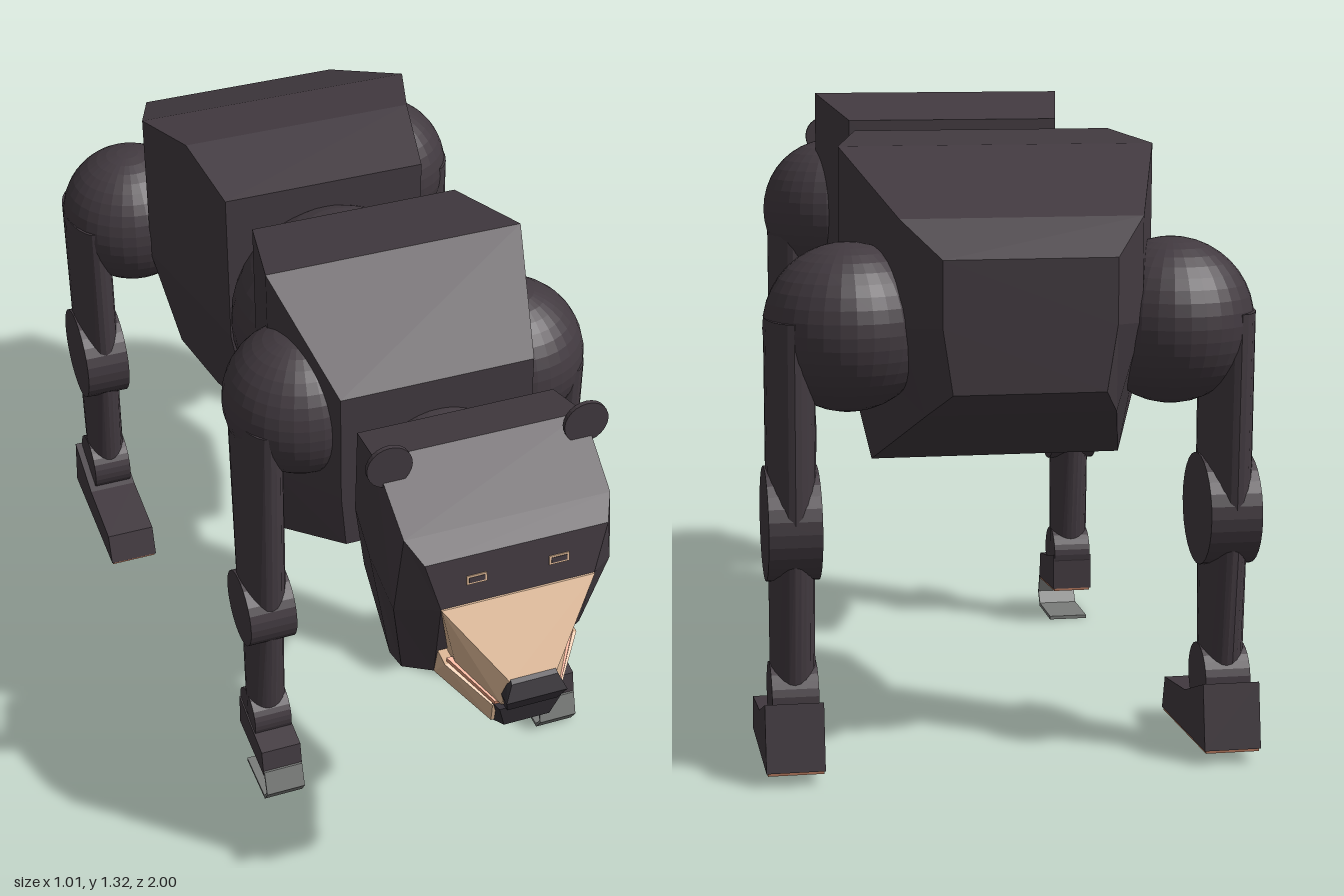
import * as THREE from 'three';

const mat = (name, color, extra = {}) => {
  const m = new THREE.MeshStandardMaterial({ color, ...extra });
  m.name = name;
  return m;
};

export function createModel() {
  const root = new THREE.Group();
  root.name = 'bear';
  const fur = mat('fur', 0x423a40, { flatShading: true });
  const tan = mat('tan', 0xdeb896, { flatShading: true });
  const nose = mat('nose', 0x363238, { flatShading: true });
  const pink = mat('mouth', 0xe69878, { side: THREE.DoubleSide });
  const sole = mat('sole', 0xb0765c, { flatShading: true });
  const claw = mat('claw', 0x7a7c7a, { side: THREE.DoubleSide });
  const mark = mat('chestMark', 0xdeb896, { side: THREE.DoubleSide });

  const add = (name, geo, material, x = 0, y = 0, z = 0, parent = root) => {
    const m = new THREE.Mesh(geo, material);
    m.name = name;
    m.position.set(x, y, z);
    parent.add(m);
    return m;
  };

  // Loft of mirrored rings, back to front; each ring lists its +x half from top to bottom
  const loft = (rings) => {
    const pos = [];
    const n = rings[0].length;
    const full = rings.map((r) => [...r, ...r.map(([x, y, z]) => [-x, y, z]).reverse()]);
    const quad = (a, b, c, d) => pos.push(...a, ...b, ...c, ...a, ...c, ...d);
    for (let k = 0; k < full.length - 1; k++) {
      const a = full[k], b = full[k + 1];
      for (let i = 0; i < 2 * n; i++) {
        const j = (i + 1) % (2 * n);
        quad(b[i], b[j], a[j], a[i]);
      }
    }
    const back = full[0], front = full[full.length - 1];
    for (let i = 0; i < n - 1; i++) {
      const l = 2 * n - 1 - i;
      quad(front[i], front[l], front[l - 1], front[i + 1]);
      quad(back[i], back[i + 1], back[l - 1], back[l]);
    }
    const g = new THREE.BufferGeometry();
    g.setAttribute('position', new THREE.Float32BufferAttribute(pos, 3));
    g.computeVertexNormals();
    return g;
  };

  // Body section: half width, top, waist and bottom heights, bottom half width
  const section = (z, w, top, mid, bot, wb) => [[w, top, z], [w, mid, z], [wb, bot, z]];

  // Side profile [z, y] pulled through a width centred on x = 0
  const prism = (pts, width) => {
    const s = new THREE.Shape(pts.map(([z, y]) => new THREE.Vector2(z, y)));
    const g = new THREE.ExtrudeGeometry(s, { depth: width, bevelEnabled: false });
    return g.rotateY(-Math.PI / 2).translate(width / 2, 0, 0);
  };

  // Limb of constant width in x whose depth tapers; ends are [y, zCentre, zRadius]
  const limb = ([y0, z0, r0], [y1, z1, r1], rx) => {
    const g = new THREE.CylinderGeometry(1, 1, 1, 24);
    const p = g.attributes.position;
    for (let i = 0; i < p.count; i++) {
      const t = 0.5 - p.getY(i);
      p.setXYZ(i, p.getX(i) * rx, y0 + (y1 - y0) * t,
        z0 + (z1 - z0) * t + p.getZ(i) * (r0 + (r1 - r0) * t));
    }
    g.computeVertexNormals();
    return g;
  };
  const disc = (r, w) => new THREE.CylinderGeometry(r, r, w, 28).rotateZ(Math.PI / 2);
  const ball = (r) => new THREE.SphereGeometry(r, 32, 20);

  // Trunk
  add('hips', loft([
    section(-1.0, 0.17, 1.06, 0.93, 0.80, 0.15),
    section(-0.91, 0.24, 1.13, 0.92, 0.745, 0.19),
    section(-0.625, 0.325, 1.25, 0.88, 0.607, 0.26),
    section(-0.45, 0.27, 1.27, 0.85, 0.583, 0.22),
    section(-0.265, 0.236, 1.22, 0.85, 0.63, 0.2),
  ]), fur);
  add('belly', ball(0.257), fur, 0, 0.927, -0.15);
  add('chest', loft([
    section(-0.065, 0.236, 1.268, 0.85, 0.67, 0.225),
    section(0.185, 0.287, 1.318, 0.8, 0.63, 0.265),
    section(0.443, 0.215, 1.155, 0.9, 0.77, 0.205),
  ]), fur);
  add('neck', ball(0.15), fur, 0, 0.93, 0.455);

  // Pale crescent lying on the sloping underside of the chest
  const v = new THREE.Shape([[-0.205, 0.683], [0, 0.633], [0.205, 0.683], [0.14, 0.689], [0, 0.655], [-0.14, 0.689]]
    .map(([x, y]) => new THREE.Vector2(x, y)));
  const vGeo = new THREE.ShapeGeometry(v);
  const vp = vGeo.attributes.position;
  for (let i = 0; i < vp.count; i++) {
    const y = vp.getY(i);
    vp.setXYZ(i, vp.getX(i), y - 0.005, 0.185 + ((y - 0.63) * 0.258) / 0.14);
  }
  vGeo.computeVertexNormals();
  add('chestMark', vGeo, mark);

  // Head
  add('head', loft([
    [[0.215, 1.145, 0.542], [0.22, 0.95, 0.542], [0.2, 0.79, 0.542]],
    [[0.225, 1.175, 0.67], [0.236, 0.93, 0.67], [0.21, 0.70, 0.722]],
    [[0.22, 1.083, 0.82], [0.236, 0.9, 0.81], [0.2, 0.695, 0.765]],
    [[0.195, 1.05, 0.87], [0.165, 0.94, 0.885], [0.14, 0.69, 0.795]],
  ]), fur);
  add('muzzle', loft([
    [[0.165, 0.941, 0.885], [0.125, 0.77, 0.83]],
    [[0.165, 0.94, 0.888], [0.125, 0.775, 0.87]],
    [[0.05, 0.79, 0.978], [0.062, 0.722, 0.965]],
  ]), tan);
  add('nose', loft([
    [[0.048, 0.805, 0.955], [0.062, 0.75, 0.95], [0.055, 0.715, 0.95]],
    [[0.05, 0.79, 0.985], [0.066, 0.755, 1.0], [0.055, 0.717, 0.98]],
  ]), nose);
  add('jaw', loft([
    [[0.145, 0.775, 0.81], [0.14, 0.69, 0.785]],
    [[0.145, 0.77, 0.865], [0.14, 0.69, 0.797]],
    [[0.075, 0.712, 0.952], [0.072, 0.659, 0.94]],
  ]), tan);
  add('lowerLip', loft([
    [[0.077, 0.715, 0.94], [0.074, 0.657, 0.928]],
    [[0.068, 0.716, 0.972], [0.05, 0.654, 0.957]],
  ]), nose);
  add('mouth', loft([
    [[0.14, 0.783, 0.86], [0.14, 0.774, 0.86]],
    [[0.072, 0.725, 0.955], [0.072, 0.715, 0.953]],
  ]), pink);

  for (const s of [1, -1]) {
    const side = s > 0 ? 'left' : 'right';

    // Ear discs and eyes
    add(side + 'Ear', new THREE.CylinderGeometry(0.048, 0.048, 0.01, 24).rotateX(Math.PI / 2), fur, s * 0.21, 1.183, 0.71);
    const eye = new THREE.Group();
    eye.name = side + 'Eye';
    eye.position.set(s * 0.088, 0.995, 0.878);
    eye.rotation.x = -0.135;
    add('eyeRim', new THREE.BoxGeometry(0.043, 0.02, 0.004), tan, 0, 0, 0, eye);
    add('eyeball', new THREE.BoxGeometry(0.034, 0.012, 0.004), fur, 0, 0, 0.001, eye);
    root.add(eye);

    // Front leg
    const front = new THREE.Group();
    front.name = side + 'FrontLeg';
    front.position.x = s * 0.345;
    root.add(front);
    add('shoulder', ball(0.166), fur, -s * 0.105, 1.04, 0.25, front);
    add('upperLeg', limb([1.04, 0.262, 0.113], [0.5, 0.267, 0.08], 0.051), fur, 0, 0, 0, front);
    add('knee', disc(0.088, 0.108), fur, 0, 0.5, 0.27, front);
    add('lowerLeg', limb([0.5, 0.27, 0.073], [0.17, 0.27, 0.04], 0.045), fur, 0, 0, 0, front);
    add('ankle', disc(0.058, 0.088), fur, 0, 0.175, 0.27, front);
    add('foot', prism([[0.212, 0.09], [0.39, 0.078], [0.38, 0.142], [0.3, 0.155], [0.215, 0.175]], 0.094), fur, 0, 0, 0, front);
    add('sole', prism([[0.214, 0.084], [0.388, 0.072], [0.388, 0.079], [0.214, 0.091]], 0.088), sole, 0, 0, 0, front);
    add('claws', prism([[0.387, 0.09], [0.404, 0.035], [0.385, 0.008], [0.255, 0.008], [0.255, 0],
      [0.388, 0], [0.41, 0.033], [0.393, 0.09]], 0.092), claw, 0, 0, 0, front);

    // Hind leg
    const hind = new THREE.Group();
    hind.name = side + 'HindLeg';
    hind.position.x = s * 0.443;
    root.add(hind);
    add('thigh', ball(0.168), fur, -s * 0.116, 0.907, -0.787, hind);
    add('upperLeg', limb([0.93, -0.79, 0.118], [0.52, -0.79, 0.108], 0.05), fur, 0, 0, 0, hind);
    add('knee', disc(0.115, 0.106), fur, 0, 0.515, -0.785, hind);
    add('lowerLeg', limb([0.5, -0.787, 0.095], [0.16, -0.787, 0.055], 0.046), fur, 0, 0, 0, hind);
    add('ankle', disc(0.07, 0.094), fur, 0, 0.16, -0.787, hind);
    add('foot', prism([[-0.888, 0.03], [-0.532, 0.014], [-0.552, 0.088], [-0.72, 0.11], [-0.865, 0.165]], 0.118), fur, s * 0.004, 0, 0, hind);
    add('sole', prism([[-0.885, 0.024], [-0.535, 0.008], [-0.535, 0.015], [-0.885, 0.031]], 0.112), sole, s * 0.004, 0, 0, hind);
  }
  return root;
}
